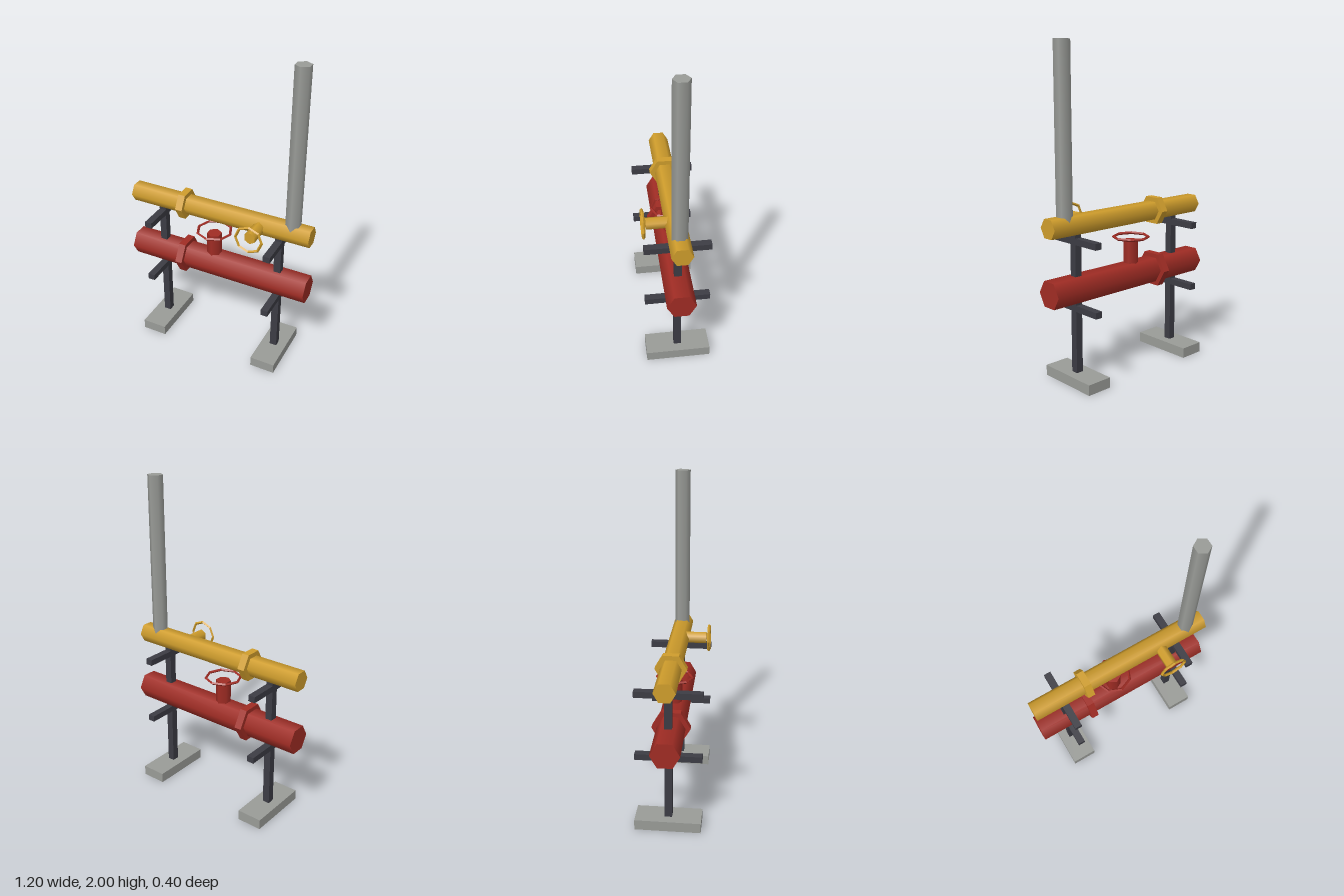
import * as THREE from 'three';

const mat = (name, color) => {
  const m = new THREE.MeshStandardMaterial({ color });
  m.name = name;
  return m;
};

// Split vertices so each face gets its own normal
const facet = (geo) => {
  const g = geo.toNonIndexed();
  g.computeVertexNormals();
  return g;
};

const hex = (radius, length) => new THREE.CylinderGeometry(radius, radius, length, 6);

export function createModel() {
  const red = mat('red paint', 0xa02c24);
  const yellow = mat('yellow paint', 0xcf9d2c);
  const grey = mat('grey concrete', 0x999b97);
  const dark = mat('dark steel', 0x3c3c44);
  const model = new THREE.Group();
  model.name = 'pipeRack';

  const add = (parent, name, geo, material, x = 0, y = 0, z = 0) => {
    const mesh = new THREE.Mesh(geo, material);
    mesh.name = name;
    mesh.position.set(x, y, z);
    parent.add(mesh);
    return mesh;
  };

  // Supports: footing, post and two cross arms on each side
  for (const side of [1, -1]) {
    const support = new THREE.Group();
    support.name = side > 0 ? 'leftSupport' : 'rightSupport';
    support.position.x = side * 0.4;
    add(support, 'footing', new THREE.BoxGeometry(0.16, 0.064, 0.4), grey, 0, 0.032);
    add(support, 'post', new THREE.BoxGeometry(0.045, 0.88, 0.045), dark, 0, 0.5);
    for (const y of [0.464, 0.866]) {
      add(support, 'crossArm', new THREE.BoxGeometry(0.045, 0.038, 0.4), dark, 0, y);
    }
    model.add(support);
  }

  // Horizontal pipes, each with a faceted flange collar
  const addPipe = (name, material, y, radius, collarRadius) => {
    const pipe = new THREE.Group();
    pipe.name = name;
    pipe.position.y = y;
    add(pipe, 'tube', hex(radius, 1.2).rotateZ(Math.PI / 2), material);
    add(pipe, 'flange', facet(hex(collarRadius, 0.046).rotateZ(Math.PI / 2)), material, -0.242);
    model.add(pipe);
    return pipe;
  };
  const lower = addPipe('lowerPipe', red, 0.58, 0.088, 0.118);
  const upper = addPipe('upperPipe', yellow, 0.963, 0.064, 0.096);

  // Valves: stem along local y with an eight-sided hand wheel at its end
  const addValve = (pipe, material, x, stemRadius, stemTop, wheelRadius, wheelHeight) => {
    const valve = new THREE.Group();
    valve.name = 'valve';
    valve.position.x = x;
    add(valve, 'valveStem', hex(stemRadius, stemTop), material, 0, stemTop / 2);
    const wheel = facet(new THREE.TorusGeometry(wheelRadius - 0.009, 0.009, 4, 8).rotateX(Math.PI / 2));
    add(valve, 'handWheel', wheel, material, 0, wheelHeight);
    pipe.add(valve);
    return valve;
  };
  addValve(lower, red, -0.04, 0.047, 0.22, 0.118, 0.239);
  addValve(upper, yellow, 0.28, 0.038, 0.175, 0.093, 0.191).rotation.x = Math.PI / 2;

  // Tall vent stack rising from the upper pipe
  add(model, 'ventStack', hex(0.048, 1.02), grey, 0.48, 1.49);

  return model;
}
